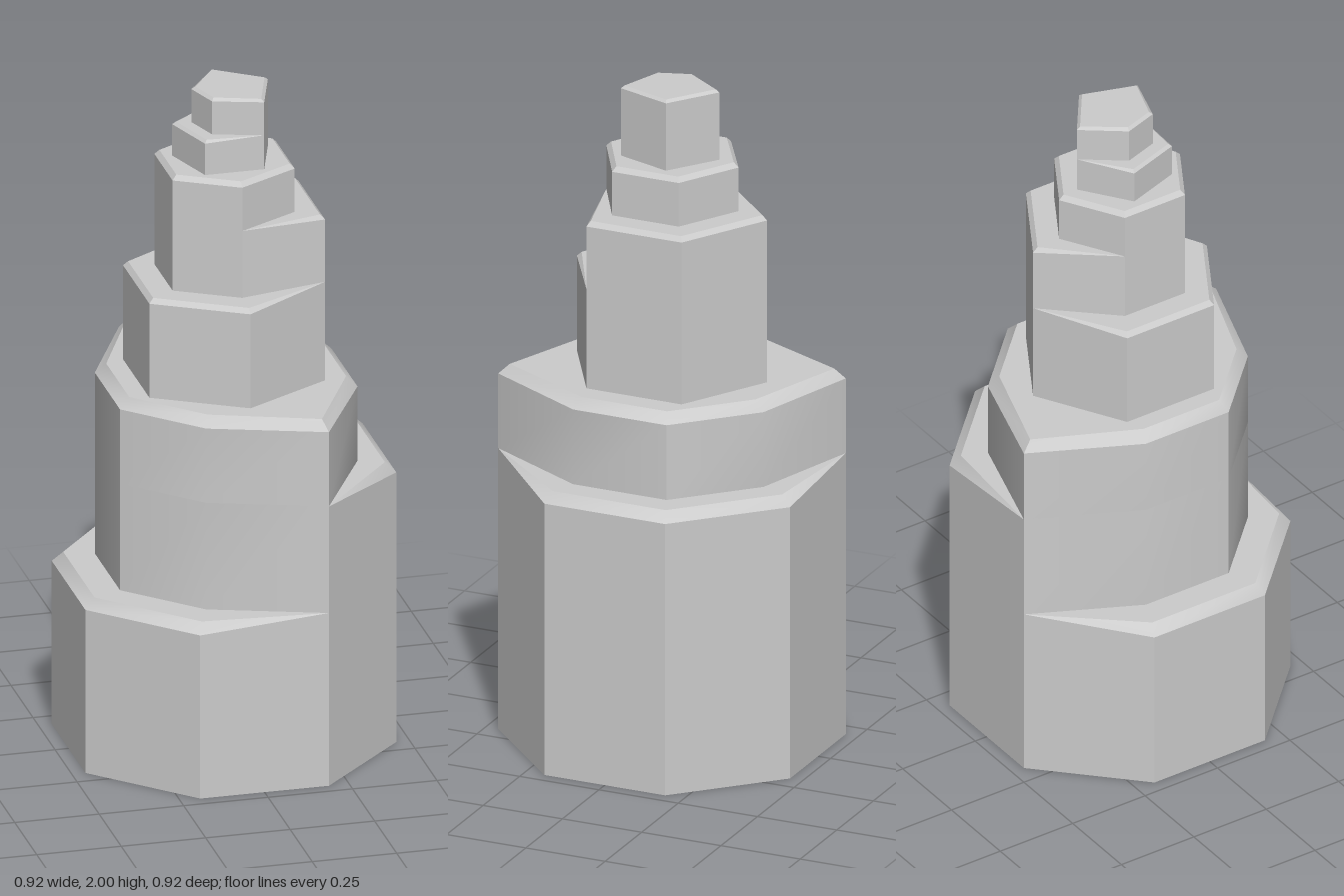
import * as THREE from 'three';
import { toCreasedNormals } from 'three/addons/utils/BufferGeometryUtils.js';

const material = new THREE.MeshStandardMaterial({ color: 0xcccccc });

// Prism from one radius per corner. Corners with an inset get a chamfered top
// edge; the chamfer tapers to nothing at corners without one.
function chamferedPrism(radii, insets, start, y0, y1, chamfer, closeBottom) {
  const n = radii.length;
  const point = (i, r, y) => {
    const a = start + (i / n) * Math.PI * 2;
    return [r * Math.sin(a), y, r * Math.cos(a)];
  };
  const positions = [];
  const tri = (...corners) => corners.forEach((c) => positions.push(...c));
  for (let i = 0; i < n; i++) {
    const j = (i + 1) % n;
    const wallTop = (k) => point(k, radii[k], y1 - (insets[k] ? chamfer : 0));
    const rim = (k) => point(k, radii[k] - insets[k], y1);
    const a = point(i, radii[i], y0);
    const b = point(j, radii[j], y0);
    // wall
    tri(a, b, wallTop(j));
    tri(a, wallTop(j), wallTop(i));
    // chamfer, one triangle where it tapers out
    if (insets[j]) tri(wallTop(i), wallTop(j), rim(j));
    if (insets[i]) tri(wallTop(i), rim(j), rim(i));
    // top and bottom
    tri([0, y1, 0], rim(i), rim(j));
    if (closeBottom) tri([0, y0, 0], b, a);
  }
  const geometry = new THREE.BufferGeometry();
  geometry.setAttribute('position', new THREE.Float32BufferAttribute(positions, 3));
  return toCreasedNormals(geometry, 0.55);
}

// Each tier steps inward on one side at a time; a step lists the height of its
// ledge, the corners that pull in above it, and how far.
const tiers = [
  {
    name: 'lowerTier', sides: 8, radius: 0.498, start: Math.PI / 8, y0: 0, top: 1.125,
    inset: 0.033, chamfer: 0.03,
    steps: [
      { y: 0.535, corners: [5, 6, 7], scale: 0.75 },
      { y: 0.865, corners: [1, 2, 3], scale: 0.775 },
    ],
  },
  {
    name: 'middleTier', sides: 6, radius: 0.3, start: 0, y0: 1.125, top: 1.785,
    inset: 0.015, chamfer: 0.014,
    steps: [
      { y: 1.43, corners: [0, 4, 5], scale: 0.69 },
      { y: 1.637, corners: [1, 2, 3], scale: 0.7 },
    ],
  },
  {
    name: 'upperTier', sides: 5, radius: 0.149, start: Math.PI / 5, y0: 1.785, top: 2,
    inset: 0.011, chamfer: 0.008,
    steps: [{ y: 1.89, corners: [3, 4], scale: 0.63 }],
  },
];

export function createModel() {
  const model = new THREE.Group();
  model.name = 'steppedTower';
  for (const t of tiers) {
    const tier = new THREE.Group();
    tier.name = t.name;
    const radii = new Array(t.sides).fill(t.radius);
    let y = t.y0;
    const addLevel = (name, corners, top) => {
      const insets = radii.map((_, i) => (corners.includes(i) ? t.inset : 0));
      const geometry = chamferedPrism(radii, insets, t.start, y, top, t.chamfer, y === 0);
      const mesh = new THREE.Mesh(geometry, material);
      mesh.name = name;
      tier.add(mesh);
      y = top;
    };
    t.steps.forEach((s, k) => {
      addLevel(`ledge${k + 1}`, s.corners, s.y);
      s.corners.forEach((i) => { radii[i] *= s.scale; });
    });
    // the last level is chamfered all round
    addLevel('cap', [...radii.keys()], t.top);
    model.add(tier);
  }
  return model;
}
